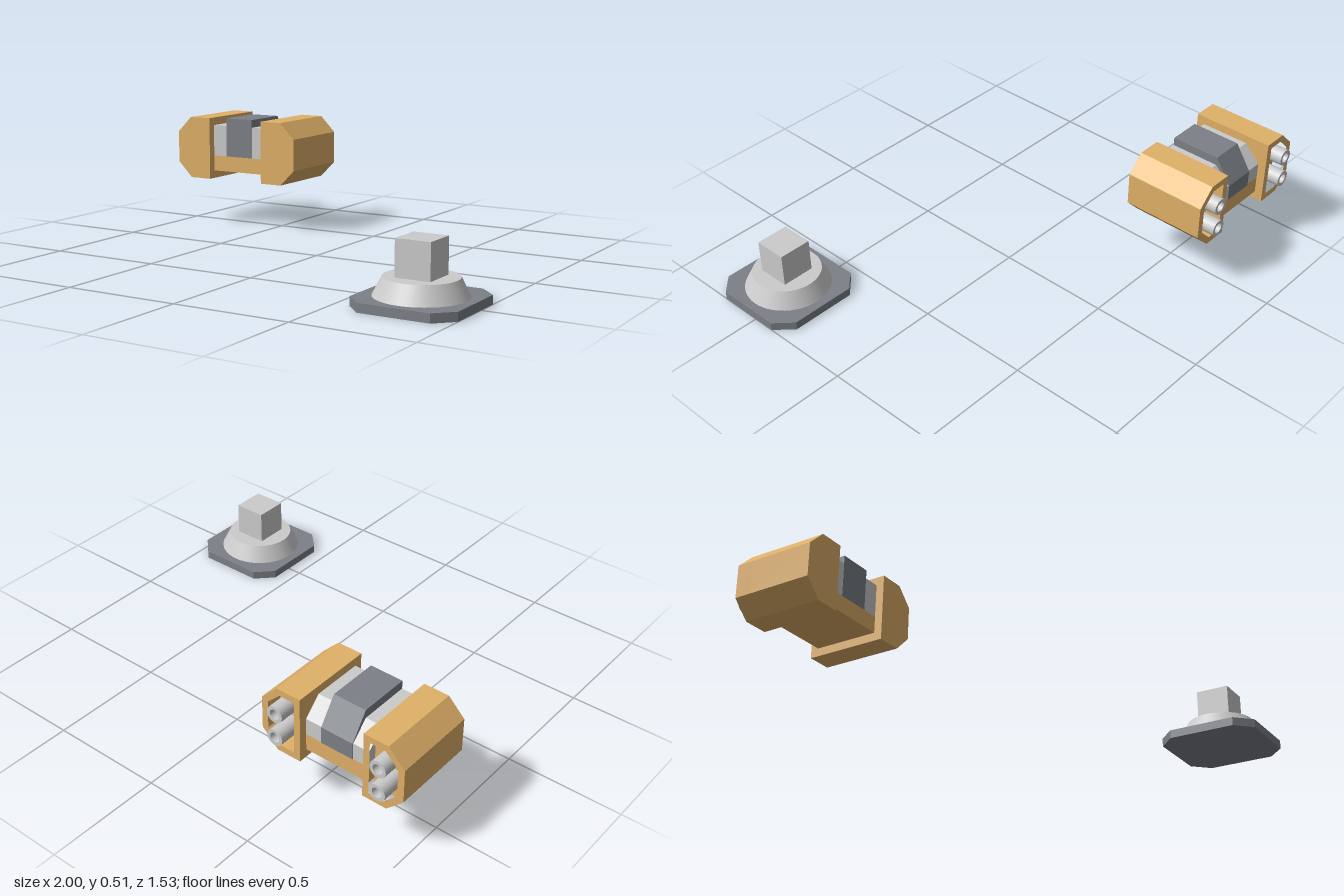
import * as THREE from 'three';

const mat = (color) => new THREE.MeshStandardMaterial({ color });
const orange = mat(0xe0b068), dark = mat(0x7c8187), light = mat(0xcccccc);
const U = 0.0727; // basic module of the design

const polygon = (pts) => new THREE.Shape(pts.map(([x, y]) => new THREE.Vector2(x, y)));

function add(parent, name, geometry, material, x = 0, y = 0, z = 0) {
  const mesh = new THREE.Mesh(geometry, material);
  mesh.name = name;
  mesh.position.set(x, y, z);
  parent.add(mesh);
  return mesh;
}

const extrude = (shape, depth) =>
  new THREE.ExtrudeGeometry(shape, { depth, bevelEnabled: false, curveSegments: 24 });

// Pod outline: flat inner side (x = 0), chamfered outer side; inset shrinks it
function podOutline(side, inset = 0) {
  const w = 2.5 * U - inset, h = 2 * U - inset, c = U - inset * 0.586;
  return [[inset, -h], [w - c, -h], [w, -h + c], [w, h - c], [w - c, h], [inset, h]]
    .map(([x, y]) => [x * side, y]);
}

// Side pod: solid front, recessed back with two hollow nozzles
function makePod(side) {
  const pod = new THREE.Group();
  pod.name = side < 0 ? 'rightPod' : 'leftPod';
  const recess = U;
  add(pod, 'podBody', extrude(polygon(podOutline(side)), 5 * U - recess), orange, 0, 0, recess);
  const frame = polygon(podOutline(side));
  frame.holes.push(polygon(podOutline(side, 0.028)));
  add(pod, 'podBackFrame', extrude(frame, recess), orange);

  const r = U / 2, back = -U / 2;
  const profile = [[0, 0.01], [r * 0.6, 0.01], [r * 0.6, recess - back], [r, recess - back], [r, 0]];
  // corners are doubled so that the lathe keeps its rims sharp
  const pts = profile.flatMap(([x, y], i) =>
    [new THREE.Vector2(x, y), ...(i > 0 && i < 4 ? [new THREE.Vector2(x, y)] : [])]);
  for (const y of [-0.75 * U, 0.75 * U]) {
    const nozzle = add(pod, 'nozzle', new THREE.LatheGeometry(pts.reverse().slice(), 24), light,
      side * 1.25 * U, y, recess);
    pts.reverse();
    nozzle.material = nozzleMaterial;
    nozzle.rotation.x = -Math.PI / 2;
  }
  pod.position.x = side * 2 * U;
  return pod;
}
const nozzleMaterial = new THREE.MeshStandardMaterial({ color: 0xcccccc, side: THREE.DoubleSide });

// Block with a sloping upper back edge, extruded across x; front faces +z
function slopedBlock(width, bottom, slopeFoot, top) {
  const d = 2 * U;
  const shape = polygon([[-d, bottom], [d, bottom], [d, slopeFoot], [d - U, top], [-d, top]]);
  const g = extrude(shape, width);
  g.translate(0, 0, -width / 2);
  g.rotateY(Math.PI / 2); // profile x becomes -z
  return g;
}

// Twin-pod unit, centred on its own origin
function makeTwinPod() {
  const unit = new THREE.Group();
  unit.name = 'twinPod';
  const z = -0.545;
  add(unit, 'lowerBridge', new THREE.BoxGeometry(4 * U, U, 4 * U), orange, 0, -U, z);
  add(unit, 'upperBridge', slopedBlock(4 * U, -0.5 * U, 0.5 * U, 1.5 * U), light, 0, 0, z);
  add(unit, 'centreBlock', slopedBlock(2 * U, -0.5 * U, 0.5 * U, 2 * U), dark, 0, 0, z - 0.001)
    .scale.z = 1.012;
  for (const side of [-1, 1]) {
    const pod = makePod(side);
    pod.position.z = z - 2.5 * U;
    unit.add(pod);
  }
  unit.position.set(-0.673, 0.364, 0);
  return unit;
}

// Stand: chamfered plate, round tapered collar and square post
function makeStand() {
  const stand = new THREE.Group();
  stand.name = 'stand';
  const a = 3 * U, b = 2 * U;
  const plate = extrude(polygon([[-a, -b], [-b, -a], [b, -a], [a, -b], [a, b], [b, a], [-b, a], [-a, b]]), U / 2);
  plate.rotateX(-Math.PI / 2);
  add(stand, 'basePlate', plate, dark);
  add(stand, 'collar', new THREE.CylinderGeometry(2 * U, 2.5 * U, U, 48), light, 0, U);
  add(stand, 'post', new THREE.BoxGeometry(2 * U, 2 * U, 2 * U), light, 0, 2.5 * U);
  stand.position.set(0.782, 0, 0.545);
  return stand;
}

export function createModel() {
  const model = new THREE.Group();
  model.name = 'twinPodAndStand';
  model.add(makeTwinPod(), makeStand());
  return model;
}
